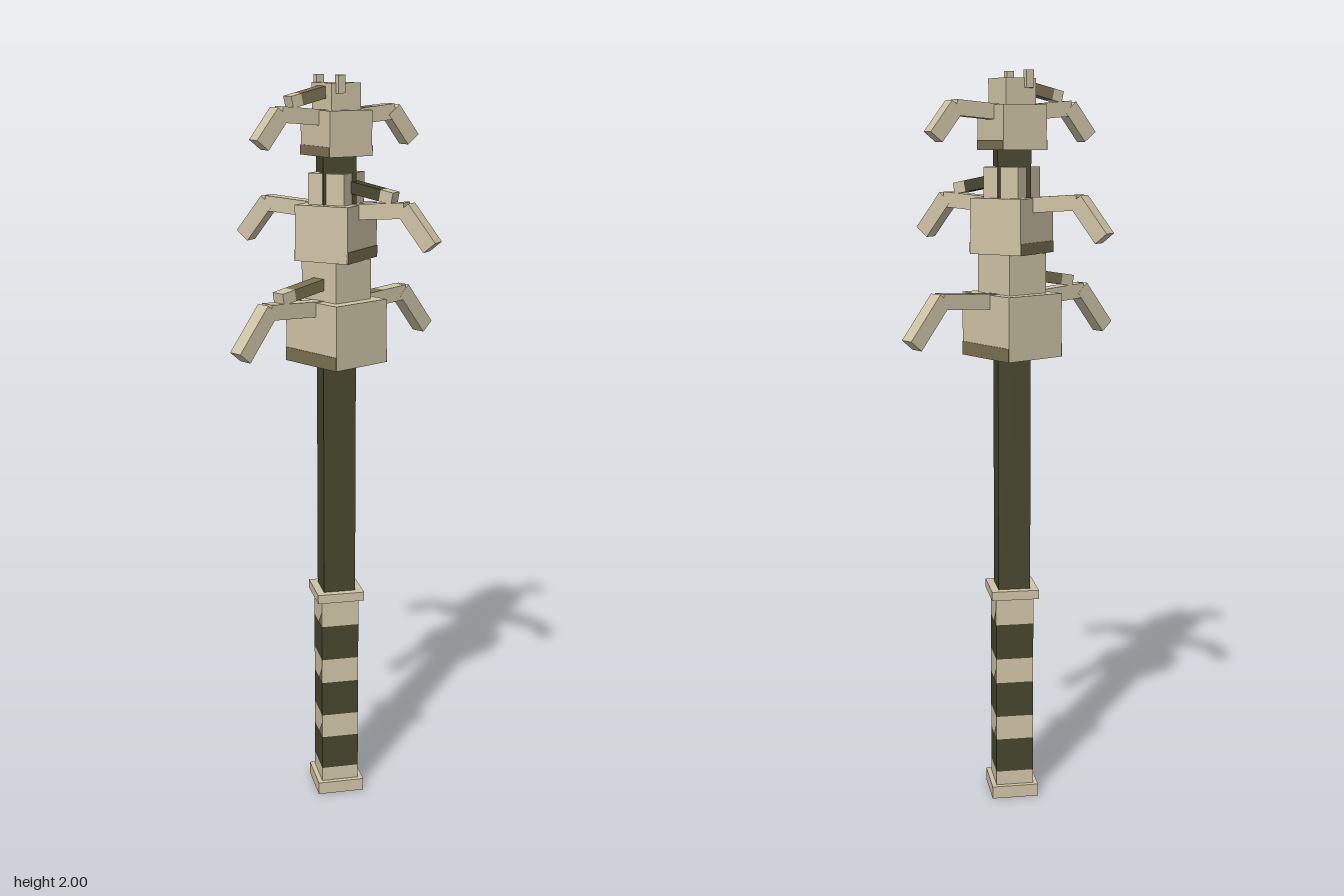
import * as THREE from 'three';

const paint = (name, color) => {
  const m = new THREE.MeshStandardMaterial({ color });
  m.name = name;
  return m;
};

export function createModel() {
  const bone = paint('bone', 0xcec3a5);
  const dark = paint('dark wood', 0x45452d);
  const brown = paint('brown', 0x7a7050);
  const root = new THREE.Group();
  root.name = 'totemStaff';

  // box from its bottom height to its top height
  const block = (parent, name, w, y0, y1, d, mat, x = 0, z = 0) => {
    const m = new THREE.Mesh(new THREE.BoxGeometry(w, y1 - y0, d), mat);
    m.position.set(x, (y0 + y1) / 2, z);
    m.name = name;
    parent.add(m);
    return m;
  };
  // bar running from a to b in the local xy plane
  const bar = (parent, name, a, b, h, d, mat) => {
    const dx = b[0] - a[0], dy = b[1] - a[1];
    const m = new THREE.Mesh(new THREE.BoxGeometry(Math.hypot(dx, dy), h, d), mat);
    m.position.set((a[0] + b[0]) / 2, (a[1] + b[1]) / 2, 0);
    m.rotation.z = Math.atan2(dy, dx);
    m.name = name;
    parent.add(m);
  };
  const mix = (a, b, t) => [a[0] + (b[0] - a[0]) * t, a[1] + (b[1] - a[1]) * t];

  // pole and end caps
  block(root, 'pommel', 0.13, 0, 0.035, 0.13, [bone, bone, bone, dark, bone, bone]);
  block(root, 'collar', 0.13, 0.585, 0.61, 0.13, bone);
  block(root, 'shaft', 0.088, 0.61, 1.85, 0.088, dark);

  // striped grip, stacked in bands
  const bands = [0.035, 0.075, 0.172, 0.24, 0.34, 0.41, 0.51, 0.585];
  for (let i = 0; i < bands.length - 1; i++) {
    block(root, 'gripBand', 0.104, bands[i], bands[i + 1], 0.104, i % 2 ? dark : bone);
  }
  // brown corner patches above each dark band, on both sides
  const patch = new THREE.Shape([
    new THREE.Vector2(0.01, 0), new THREE.Vector2(0.052, 0), new THREE.Vector2(0.052, 0.045),
  ]);
  for (const turn of [0, Math.PI]) {
    const side = new THREE.Group();
    side.name = 'gripPatches';
    side.rotation.y = turn;
    for (const y of [0.172, 0.34, 0.51]) {
      const m = new THREE.Mesh(new THREE.ShapeGeometry(patch), brown);
      m.rotation.y = Math.PI / 2;
      m.position.set(0.053, y, 0);
      m.name = 'gripPatch';
      side.add(m);
    }
    root.add(side);
  }

  // stacked heads: s = scale, y0/top = main box, crown = top of the upper block
  const heads = [
    { name: 'lowerHead', s: 1, angle: 30, y0: 1.255, top: 1.425, crown: 1.53, stickSide: -1, stickMat: brown },
    { name: 'middleHead', s: 0.85, angle: -40, y0: 1.53, top: 1.675, crown: 1.755, stickSide: 1, stickMat: dark },
    { name: 'upperHead', s: 0.71, angle: 20, y0: 1.798, top: 1.913, crown: 1.98, stickSide: -1, stickMat: brown },
  ];
  for (const { name, s, angle, y0, top, crown, stickSide, stickMat } of heads) {
    const head = new THREE.Group();
    head.name = name;
    head.rotation.y = THREE.MathUtils.degToRad(angle);
    root.add(head);

    block(head, 'skull', 0.18 * s, y0, top, 0.2 * s, [bone, bone, bone, brown, bone, bone]);
    block(head, 'crown', 0.124 * s, top, crown, 0.135 * s, bone);

    for (const dir of [1, -1]) {
      const side = new THREE.Group();
      side.name = dir > 0 ? 'leftSide' : 'rightSide';
      side.rotation.y = dir > 0 ? 0 : Math.PI;
      side.position.y = top;
      head.add(side);

      // brown strip along the lower edge
      block(side, 'jawStrip', 0.004, y0 - top, y0 - top + 0.036 * s, 0.2 * s, brown, 0.09 * s);

      // bent horn: rising inner part, drooping tip
      const base = [0.06 * s, -0.019], knee = [0.24 * s, -0.008];
      const tip = [0.343 * s - 0.015, -0.115 * s];
      const mid = mix(base, knee, 0.55);
      const topMat = dir > 0 && stickSide < 0 ? brown : bone;
      bar(side, 'hornBase', base, mid, 0.04, 0.04, [bone, bone, topMat, bone, bone, bone]);
      bar(side, 'hornMiddle', mid, knee, 0.04, 0.04, bone);
      bar(side, 'hornTip', mix(knee, tip, -0.06), tip, 0.042, 0.041, bone);

      // short peg above one horn
      if (dir === stickSide) {
        const a = [0.05 * s, 0.046], b = [0.2 * s, 0.021];
        const c = mix(a, b, 0.73);
        bar(side, 'peg', a, c, 0.03, 0.04, stickMat);
        bar(side, 'pegEnd', c, b, 0.03, 0.04, bone);
      }
    }
    // small studs on the topmost crown
    if (name === 'upperHead') {
      block(head, 'backStud', 0.022, 1.955, 2, 0.015, bone, -0.022, -0.05);
      block(head, 'frontStud', 0.022, 1.955, 2, 0.015, bone, -0.02, 0.051);
    }
  }
  return root;
}
